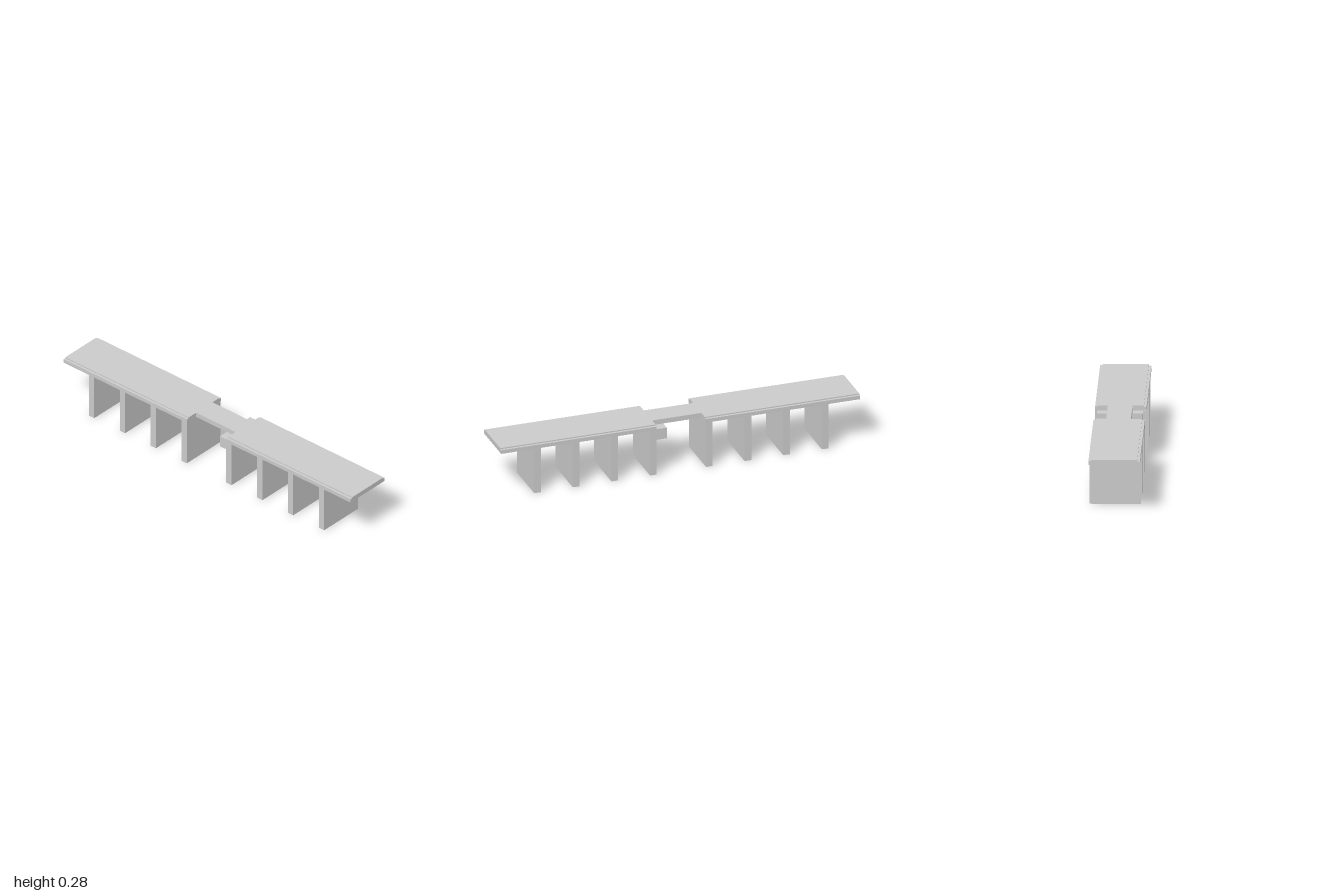
import * as THREE from 'three';

export function createModel() {
  const bridge = new THREE.Group();
  bridge.name = 'bridge';
  const material = new THREE.MeshStandardMaterial({ color: 0xcccccc, flatShading: true });

  // Box given by its limits on each axis
  function block(name, [x0, x1], [y0, y1], [z0, z1]) {
    const mesh = new THREE.Mesh(new THREE.BoxGeometry(x1 - x0, y1 - y0, z1 - z0), material);
    mesh.position.set((x0 + x1) / 2, (y0 + y1) / 2, (z0 + z1) / 2);
    mesh.name = name;
    bridge.add(mesh);
  }

  const underside = 0.257, ledge = 0.278, top = 0.284;
  const width = [-0.135, 0.135];
  const gap = [-0.14, 0.135];

  // Two deck halves, each with a slightly narrower road surface on top
  for (const [side, span] of [['right', [-1, gap[0]]], ['left', [gap[1], 1]]]) {
    block(side + 'Deck', span, [underside, ledge], width);
    block(side + 'RoadSurface', span, [ledge, top], [-0.121, 0.121]);
  }

  // Narrow link between the halves
  block('centreLink', gap, [underside, top], [-0.068, 0.062]);

  // Wall piers, evenly spaced under each half
  for (let i = 0; i < 4; i++) {
    const xr = -0.16 - i * 0.215, xl = 0.152 + i * 0.215;
    block('rightPier' + (i + 1), [xr - 0.0185, xr + 0.0185], [0, underside], width);
    block('leftPier' + (i + 1), [xl - 0.0185, xl + 0.0185], [0, underside], width);
  }

  // Support brackets beside the link
  block('backBracket', [0.073, 0.135], [0.195, underside], [-0.123, -0.061]);
  block('frontBracket', [0.073, 0.135], [0.195, underside], [0.055, 0.117]);

  return bridge;
}
